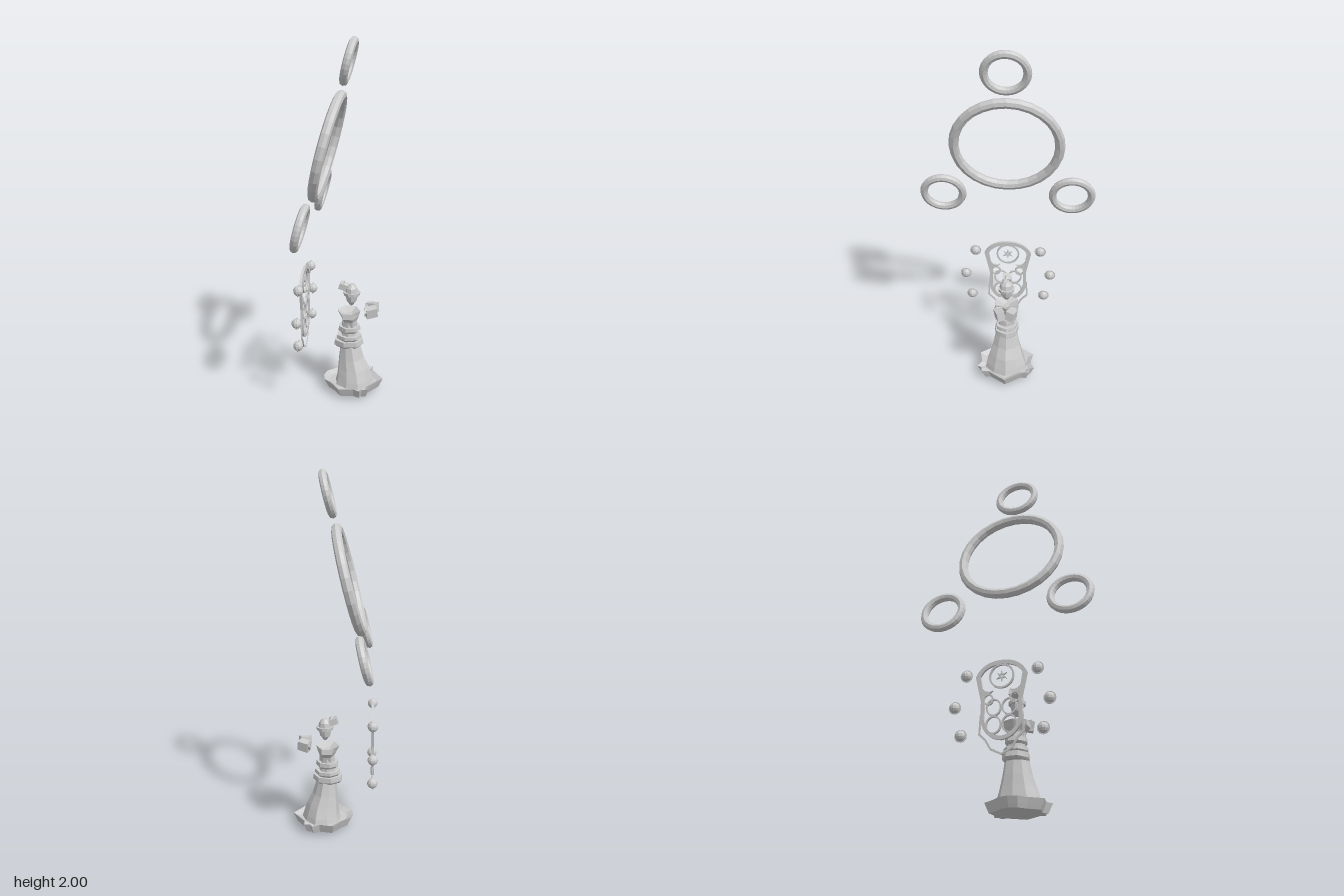
import * as THREE from 'three';

const grey = new THREE.MeshStandardMaterial({ color: 0xcccccc, flatShading: true, side: THREE.DoubleSide });

function add(parent, name, geometry, x = 0, y = 0, z = 0) {
  const mesh = new THREE.Mesh(geometry, grey);
  mesh.name = name;
  mesh.position.set(x, y, z);
  parent.add(mesh);
  return mesh;
}

// Skin a stack of closed loops (each a list of [x, y, z]) and close both ends with a fan.
function skin(loops) {
  const n = loops[0].length, pos = [];
  const centre = l => [0, 1, 2].map(k => l.reduce((s, p) => s + p[k], 0) / n);
  const first = centre(loops[0]), last = centre(loops[loops.length - 1]);
  for (let j = 0; j < n; j++) {
    const k = (j + 1) % n;
    pos.push(...first, ...loops[0][j], ...loops[0][k]);
    for (let i = 0; i + 1 < loops.length; i++) {
      const a = loops[i][j], b = loops[i][k], c = loops[i + 1][k], d = loops[i + 1][j];
      pos.push(...a, ...d, ...c, ...a, ...c, ...b);
    }
    const top = loops[loops.length - 1];
    pos.push(...last, ...top[k], ...top[j]);
  }
  const g = new THREE.BufferGeometry();
  g.setAttribute('position', new THREE.Float32BufferAttribute(pos, 3));
  g.computeVertexNormals();
  return g;
}

// Sections are [y, back x, front x, half width]; jag pulls every second corner inward.
function loft(sections, sides = 8, jag = 0) {
  return skin(sections.map(([y, x0, x1, w]) => Array.from({ length: sides }, (_, j) => {
    const a = j / sides * Math.PI * 2, r = j % 2 ? 1 - jag : 1;
    return [(x0 + x1) / 2 + Math.cos(a) * r * (x1 - x0) / 2, y, Math.sin(a) * r * w];
  })));
}

function buildFigure() {
  const g = new THREE.Group();
  g.name = 'figure';
  g.position.z = -0.006;

  // Ragged hem: half outline in (x, z), mirrored
  const half = [[0.235, 0], [0.165, 0.1], [0.165, 0.14], [0.133, 0.143], [0.12, 0.167], [0.08, 0.144],
    [0, 0.158], [-0.05, 0.09], [-0.095, 0.05], [-0.107, 0]];
  const outline = [...half, ...half.slice(1, -1).reverse().map(([x, z]) => [x, -z])];
  const ring = (y, s) => outline.map(([x, z]) => [0.065 + (x - 0.065) * s, y, z * s]);
  const hem = [[0.04, 0.05], [0.01, 0.7], [0.013, 0.86], [0.035, 0.92], [0.066, 1], [0.05, 0.8]];
  hem[0] = [0.0, 0.05];
  add(g, 'hem', skin(hem.map(([y, s]) => ring(y, s))));

  // Skirt, bodice and chest
  add(g, 'skirt', loft([[0.045, -0.045, 0.185, 0.128], [0.08, -0.035, 0.175, 0.12],
    [0.14, -0.028, 0.155, 0.1], [0.2, -0.022, 0.125, 0.082], [0.28, -0.012, 0.1, 0.066]], 10, 0.06));
  add(g, 'bodice', loft([[0.26, -0.01, 0.095, 0.058], [0.35, -0.005, 0.085, 0.05],
    [0.42, 0, 0.08, 0.045]]));
  [[0.272, 0.312, -0.05, 0.122, 0.072], [0.312, 0.342, -0.035, 0.113, 0.066],
    [0.36, 0.395, -0.025, 0.105, 0.06]].forEach(([y0, y1, x0, x1, w], i) => add(g, 'belt' + (i + 1),
    loft([[y0, x0 + 0.014, x1 - 0.014, w - 0.008], [y0 + 0.012, x0, x1, w],
      [y1, x0 + 0.004, x1 - 0.004, w]], 14, 0.08)));
  add(g, 'chest', loft([[0.395, 0, 0.085, 0.045], [0.43, 0, 0.085, 0.055],
    [0.455, -0.012, 0.095, 0.078], [0.485, -0.028, 0.103, 0.074], [0.465, 0.02, 0.06, 0.02]], 6));

  // Floating head, cap and hair
  add(g, 'head', loft([[0.52, 0.045, 0.06, 0.01], [0.545, 0.025, 0.08, 0.03],
    [0.59, 0.015, 0.092, 0.04], [0.625, 0.022, 0.085, 0.036], [0.645, 0.04, 0.07, 0.018]]));
  add(g, 'headband', loft([[0.582, 0.008, 0.1, 0.046], [0.6, 0.006, 0.102, 0.047]], 10));
  const bun = add(g, 'hairBun', new THREE.BoxGeometry(0.045, 0.035, 0.05), 0.006, 0.632, 0);
  bun.rotation.z = -0.35;
  add(g, 'hairKnot', new THREE.ConeGeometry(0.024, 0.03, 5), 0.015, 0.65, 0);

  // Floating hands
  for (const s of [1, -1]) {
    const hand = add(g, s > 0 ? 'rightHand' : 'leftHand',
      new THREE.BoxGeometry(0.062, 0.054, 0.045), 0.167, 0.497, s * 0.033);
    hand.rotation.set(s * 0.15, s * 0.4, 0.08);
    const cuff = add(g, s > 0 ? 'rightCuff' : 'leftCuff',
      new THREE.CylinderGeometry(0.028, 0.022, 0.016, 6), 0.142, 0.5, s * 0.04);
    cuff.rotation.z = Math.PI / 2;
  }
  return g;
}

// Thin tracery panel drawn flat, then turned to face the figure
function buildPanel() {
  const g = new THREE.Group();
  g.name = 'tracedPanel';
  g.position.x = -0.212;
  g.rotation.y = Math.PI / 2;
  const slab = (name, shape, depth) => add(g, name,
    new THREE.ExtrudeGeometry(shape, { depth, bevelEnabled: false, curveSegments: 10 }), 0, 0, -depth / 2);

  // Arched frame with shoulder points, open in the middle
  const trace = (p, w, top, bottom, tip) => {
    p.moveTo(0, bottom);
    p.quadraticCurveTo(w * 0.75, bottom + 0.01, w * 0.88, 0.43);
    p.lineTo(w * 0.86, 0.52);
    p.lineTo(w + tip, 0.655);
    p.quadraticCurveTo(w * 0.8, top, 0, top);
    p.quadraticCurveTo(-w * 0.8, top, -w - tip, 0.655);
    p.lineTo(-w * 0.86, 0.52);
    p.lineTo(-w * 0.88, 0.43);
    p.quadraticCurveTo(-w * 0.75, bottom + 0.01, 0, bottom);
    return p;
  };
  const frame = trace(new THREE.Shape(), 0.125, 0.735, 0.315, 0.012);
  frame.holes.push(trace(new THREE.Path(), 0.104, 0.713, 0.335, 0.008));
  slab('archFrame', frame, 0.014);

  // Round openings
  const hoop = (name, x, y, rx, ry, w) => {
    const s = new THREE.Shape().absellipse(x, y, rx, ry, 0, Math.PI * 2);
    s.holes.push(new THREE.Path().absellipse(x, y, rx - w, ry - w, 0, Math.PI * 2));
    slab(name, s, 0.011);
  };
  hoop('rosetteRing', 0, 0.65, 0.067, 0.067, 0.009);
  for (const s of [1, -1]) {
    hoop('smallHoop', s * 0.07, 0.53, 0.028, 0.03, 0.008);
    hoop('upperHoop', s * 0.041, 0.485, 0.041, 0.046, 0.008);
    hoop('lowerHoop', s * 0.042, 0.395, 0.042, 0.048, 0.008);
    // Thin pendant edge running to the lower point
    const edge = new THREE.Shape([[0.114, 0.45], [0.12, 0.35], [0.085, 0.315], [0.06, 0.27], [0, 0.24],
      [0, 0.25], [0.053, 0.278], [0.078, 0.322], [0.11, 0.355], [0.106, 0.45]]
      .map(([x, y]) => new THREE.Vector2(s * x, y)));
    slab('pendantEdge', edge, 0.006);
    // Curved horn beneath the rosette
    const horn = new THREE.Shape();
    horn.moveTo(s * 0.105, 0.6);
    horn.quadraticCurveTo(s * 0.085, 0.56, s * 0.045, 0.575);
    horn.quadraticCurveTo(s * 0.085, 0.535, s * 0.115, 0.565);
    slab('horn', horn, 0.01);
  }
  // Small star in the rosette
  const star = new THREE.Shape(Array.from({ length: 12 }, (_, i) => {
    const a = i * Math.PI / 6, r = i % 2 ? 0.011 : 0.032;
    return new THREE.Vector2(Math.sin(a) * r, 0.65 + Math.cos(a) * r);
  }));
  star.holes.push(new THREE.Path().absarc(0, 0.65, 0.006, 0, Math.PI * 2));
  slab('rosetteStar', star, 0.008);
  return g;
}

// Ring facing forward along x, standing in the local yz plane
function ringGeometry(radius, tube) {
  return new THREE.TorusGeometry(radius, tube, 8, 28).rotateY(Math.PI / 2);
}

export function createModel() {
  const model = new THREE.Group();
  model.name = 'figureWithHalos';
  model.add(buildFigure(), buildPanel());

  // Six orbs with a thin rim, around the panel
  for (const s of [1, -1]) {
    for (const [y, z] of [[0.67, 0.19], [0.505, 0.25], [0.355, 0.215]]) {
      const orb = add(model, 'orb', new THREE.SphereGeometry(0.028, 10, 7), -0.212, y, s * z);
      add(orb, 'orbRim', new THREE.CylinderGeometry(0.033, 0.033, 0.004, 16).rotateZ(Math.PI / 2));
    }
  }

  // Leaning cluster of rings overhead
  const halo = new THREE.Group();
  halo.name = 'haloRings';
  halo.position.set(-0.078, 1.425, 0);
  halo.rotation.z = -0.247;
  add(halo, 'largeRing', ringGeometry(0.281, 0.027));
  add(halo, 'topRing', ringGeometry(0.108, 0.0215), 0, 0.464, 0);
  for (const s of [1, -1]) add(halo, 'lowerRing', ringGeometry(0.108, 0.0215), 0, -0.351, s * 0.358);
  model.add(halo);
  return model;
}
